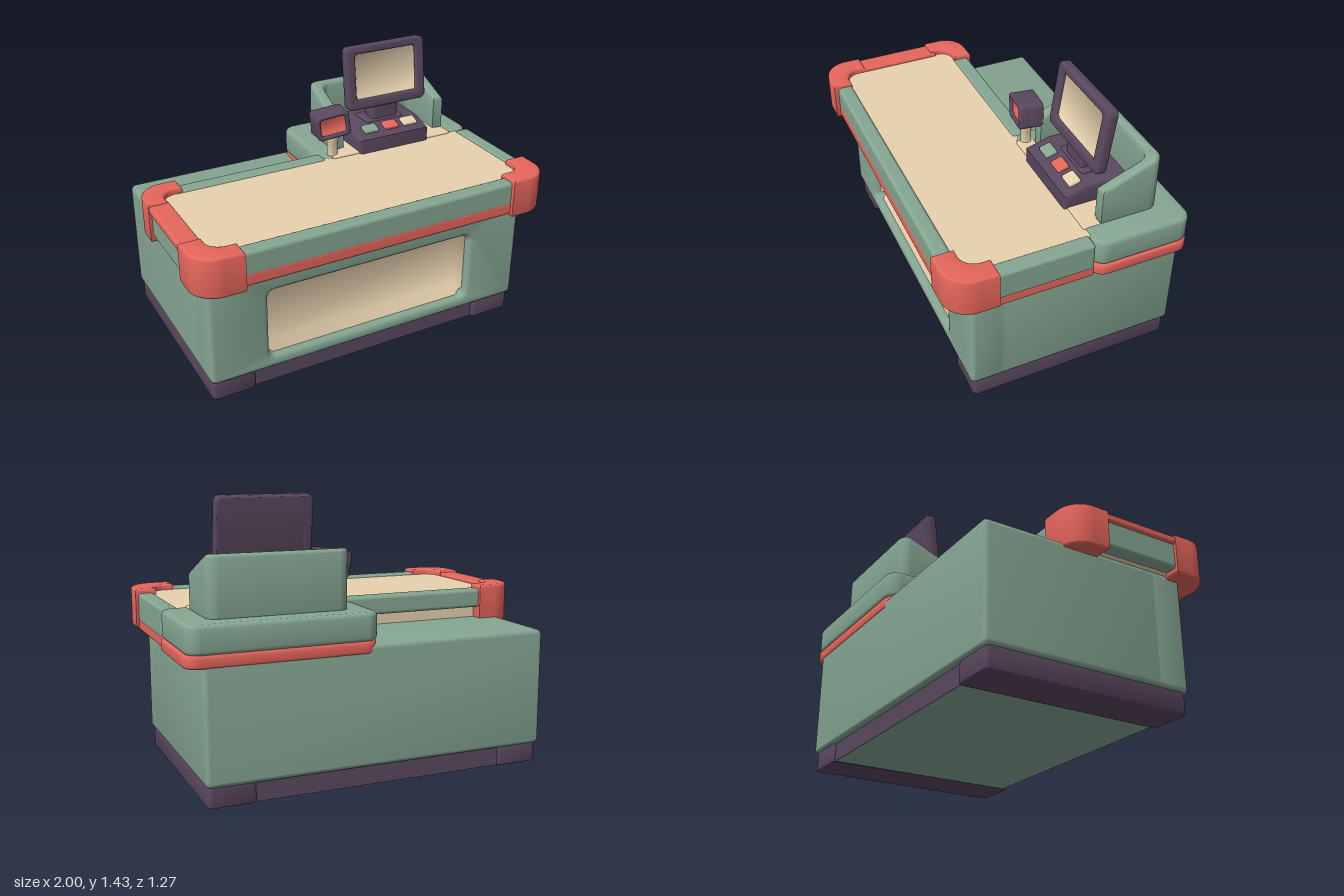
import * as THREE from 'three';
import { RoundedBoxGeometry } from 'three/addons/geometries/RoundedBoxGeometry.js';
import { toCreasedNormals } from 'three/addons/utils/BufferGeometryUtils.js';

const paint = (name, color) => Object.assign(new THREE.MeshStandardMaterial({ color }), { name });

// Rounded rectangle spanning x0..x1, y0..y1
function roundRect(x0, x1, y0, y1, r, Type = THREE.Shape) {
  const s = new Type();
  s.moveTo(x0 + r, y0);
  s.lineTo(x1 - r, y0);
  s.absarc(x1 - r, y0 + r, r, -Math.PI / 2, 0);
  s.lineTo(x1, y1 - r);
  s.absarc(x1 - r, y1 - r, r, 0, Math.PI / 2);
  s.lineTo(x0 + r, y1);
  s.absarc(x0 + r, y1 - r, r, Math.PI / 2, Math.PI);
  s.lineTo(x0, y0 + r);
  s.absarc(x0 + r, y0 + r, r, Math.PI, Math.PI * 1.5);
  return s;
}

// Extrusion with softened edges that keeps the drawn outline as its full size
function extrude(shape, depth, bevel = 0.015) {
  return new THREE.ExtrudeGeometry(shape, {
    depth: depth - 2 * bevel, curveSegments: 8, bevelEnabled: bevel > 0,
    bevelSize: bevel, bevelThickness: bevel, bevelOffset: -bevel, bevelSegments: 3,
  }).translate(0, 0, bevel);
}

// Tray facing +z: flat floor, narrow sloped walls, normals leaning softly to the middle
function tray(w, h, depth, wall) {
  const g = new THREE.PlaneGeometry(w, h, 3, 3);
  const p = g.attributes.position;
  const n = new THREE.Vector3();
  for (let i = 0; i < p.count; i++) {
    let x = p.getX(i), y = p.getY(i);
    const innerX = Math.abs(x) < w / 4, innerY = Math.abs(y) < h / 4;
    if (innerX) x = Math.sign(x) * (w / 2 - wall);
    if (innerY) y = Math.sign(y) * (h / 2 - wall);
    p.setXYZ(i, x, y, innerX && innerY ? -depth : 0);
    n.set(-0.5 * x / w, -y / h, 1).normalize();
    g.attributes.normal.setXYZ(i, n.x, n.y, n.z);
  }
  return g;
}

export function createModel() {
  const model = new THREE.Group();
  model.name = 'checkoutCounter';
  const green = paint('sageGreen', 0x86a693);
  const red = paint('coralRed', 0xe6665c);
  const cream = paint('cream', 0xe8d2af);
  const purple = paint('darkPurple', 0x5a485f);

  const add = (name, geo, mat, parent = model) => {
    const m = new THREE.Mesh(geo, mat);
    m.name = name;
    parent.add(m);
    return m;
  };
  const soft = (geo) => toCreasedNormals(geo, 0.65);
  // Box given by its extents
  const box = (name, mat, x0, x1, y0, y1, z0, z1, r = 0.015) => {
    const m = add(name, new RoundedBoxGeometry(x1 - x0, y1 - y0, z1 - z0, 3, r), mat);
    m.position.set((x0 + x1) / 2, (y0 + y1) / 2, (z0 + z1) / 2);
  };
  // Flat slab with rounded plan corners
  const slab = (name, mat, x0, x1, y0, y1, z0, z1, r, bevel) => {
    const g = extrude(roundRect(x0, x1, -z1, -z0, r), y1 - y0, bevel);
    add(name, soft(g.rotateX(-Math.PI / 2).translate(0, y0, 0)), mat);
  };

  // Plinth: two end blocks joined by thin panels around the cabinet floor
  for (const s of [-1, 1]) {
    slab('plinthEnd', purple, s > 0 ? 0.665 : -0.9, s > 0 ? 0.905 : -0.665, 0, 0.115, -0.617, 0.485, 0.025, 0.004);
    const panel = add('plinthPanel', new THREE.PlaneGeometry(1.36, 0.115), purple);
    panel.position.set(0, 0.0575, s > 0 ? 0.465 : -0.605);
    panel.rotation.y = s > 0 ? 0 : Math.PI;
  }
  box('cabinetFloor', green, -0.68, 0.68, 0.003, 0.12, -0.603, 0.463, 0.003);

  // Cabinet with a framed opening in the front
  const outline = () => roundRect(-0.91, 0.917, 0.1, 0.715, 0.03);
  add('cabinet', soft(extrude(outline(), 1.01, 0.02)), green).position.z = -0.63;
  const frame = outline();
  frame.holes.push(roundRect(-0.592, 0.598, 0.168, 0.558, 0.04, THREE.Path));
  add('cabinetFront', soft(extrude(frame, 0.2, 0.025)), green).position.z = 0.3;
  add('niche', tray(1.2, 0.4, 0.095, 0.025), cream).position.set(0.003, 0.363, 0.478);

  // Counter top and its rails
  box('counterTop', cream, -0.92, 0.91, 0.705, 0.868, -0.15, 0.55, 0.01);
  box('frontRail', green, -0.82, 0.82, 0.745, 0.881, 0.527, 0.61, 0.02);
  box('frontTrim', red, -0.82, 0.82, 0.695, 0.772, 0.48, 0.612, 0.02);
  box('rightRail', green, 0.9, 0.985, 0.72, 0.876, -0.11, 0.42, 0.018);
  box('rightTrim', red, 0.88, 0.986, 0.68, 0.737, -0.11, 0.4, 0.012);
  box('leftRail', green, -0.985, -0.895, 0.715, 0.86, -0.06, 0.46, 0.018);
  box('leftCap', red, -0.997, -0.885, 0.845, 0.888, -0.04, 0.44, 0.015);
  box('backRail', green, -0.82, 0.05, 0.775, 0.876, -0.2, -0.112, 0.018);

  // Bumper corners, one bent block turned to each place
  const [L, W, R, r] = [0.238, 0.112, 0.14, 0.08];
  const bend = new THREE.Shape();
  bend.moveTo(R, 0);
  bend.lineTo(L, 0);
  bend.lineTo(L, W);
  bend.lineTo(W + r, W);
  bend.absarc(W + r, W + r, r, Math.PI * 1.5, Math.PI, true);
  bend.lineTo(W, L);
  bend.lineTo(0, L);
  bend.lineTo(0, R);
  bend.absarc(R, R, R, Math.PI, Math.PI * 1.5);
  const bumper = soft(extrude(bend, 0.214, 0.015).rotateX(-Math.PI / 2));
  for (const [name, x, z, turn, sx, sz] of [
    ['frontLeftBumper', 1, 0.632, 1, 1.03, 1], ['frontRightBumper', -1, 0.633, 0, 1.03, 0.94],
    ['backRightBumper', -1, -0.217, -1, 0.88, 0.92],
  ]) {
    const m = add(name, bumper, red);
    m.position.set(x, 0.686, z);
    m.rotation.y = turn * Math.PI / 2;
    m.scale.set(sx, 1, sz);
  }

  // Raised till stand behind the counter
  slab('tillTrim', red, 0.033, 1, 0.67, 0.735, -0.635, -0.11, 0.07, 0.014);
  slab('tillStand', green, 0.03, 0.993, 0.73, 0.874, -0.635, -0.112, 0.07, 0.022);
  box('tillMat', cream, 0.1, 0.86, 0.84, 0.879, -0.2, -0.108, 0.008);
  box('hoodFloor', cream, 0.18, 0.82, 0.84, 0.879, -0.45, -0.19, 0.005);

  // U-shaped hood whose top climbs towards the back
  const u = new THREE.Shape();
  u.moveTo(0.14, 0.2);
  u.lineTo(0.205, 0.2);
  u.lineTo(0.205, 0.42);
  u.absarc(0.25, 0.42, 0.045, Math.PI, Math.PI / 2, true);
  u.lineTo(0.755, 0.465);
  u.absarc(0.755, 0.42, 0.045, Math.PI / 2, 0, true);
  u.lineTo(0.8, 0.2);
  u.lineTo(0.86, 0.2);
  u.lineTo(0.86, 0.46);
  u.absarc(0.8, 0.46, 0.06, 0, Math.PI / 2);
  u.lineTo(0.2, 0.52);
  u.absarc(0.2, 0.46, 0.06, Math.PI / 2, Math.PI);
  u.closePath();
  const hood = extrude(u, 0.2, 0.018).rotateX(-Math.PI / 2);
  const p = hood.attributes.position;
  for (let i = 0; i < p.count; i++) {
    if (p.getY(i) > 0.1) {
      const t = THREE.MathUtils.clamp((-0.2 - p.getZ(i)) / 0.28, 0, 1);
      p.setY(i, p.getY(i) + 0.112 * t);
    }
  }
  hood.computeVertexNormals();
  add('hood', soft(hood), green).position.y = 0.862;

  // Till body with a sloping key deck, drawn from the side
  const side = new THREE.Shape([[0.09, 0.865], [0.43, 0.865], [0.43, 0.985], [0.22, 0.985], [0.09, 0.948]]
    .map(([x, y]) => new THREE.Vector2(x, y)));
  add('tillBody', soft(extrude(side, 0.442, 0.016).rotateY(Math.PI / 2)), purple).position.x = 0.254;
  [[0.357, green], [0.486, red], [0.608, cream]].forEach(([x, mat]) => {
    const key = add('key', new RoundedBoxGeometry(0.088, 0.028, 0.066, 3, 0.01), mat);
    key.position.set(x, 0.973, -0.168);
    key.rotation.x = 0.29;
  });
  box('screenFoot', purple, 0.37, 0.61, 0.965, 0.997, -0.37, -0.225, 0.014);
  box('screenNeck', purple, 0.415, 0.577, 0.975, 1.115, -0.34, -0.235, 0.018);

  // Tilted screen with a raised bezel
  const screen = new THREE.Group();
  screen.name = 'screen';
  screen.position.set(0.5, 1.25, -0.267);
  screen.rotation.x = -0.13;
  model.add(screen);
  const bezel = roundRect(-0.252, 0.252, -0.18, 0.18, 0.032);
  bezel.holes.push(roundRect(-0.193, 0.193, -0.122, 0.134, 0.02, THREE.Path));
  add('bezel', soft(extrude(bezel, 0.055, 0.012)), purple, screen).position.z = -0.028;
  add('screenBack', soft(extrude(roundRect(-0.245, 0.245, -0.173, 0.173, 0.025), 0.026, 0.004)), purple, screen).position.z = -0.028;
  add('display', tray(0.392, 0.262, 0.01, 0.02), cream, screen).position.set(0, 0.006, 0.012);

  // Scanner on a short post
  const post = [[0, 0], [0.029, 0], [0.028, 0.08], [0.036, 0.098], [0.036, 0.12], [0, 0.125]];
  const postGeo = new THREE.LatheGeometry(post.map(([x, y]) => new THREE.Vector2(x, y)), 20);
  add('scannerPost', soft(postGeo), cream).position.set(0.112, 0.87, -0.16);
  const scanner = new THREE.Group();
  scanner.name = 'scanner';
  scanner.position.set(0.1, 1.065, -0.165);
  scanner.rotation.set(0, -0.14, 0.13);
  model.add(scanner);
  const rim = roundRect(-0.095, 0.095, -0.07, 0.07, 0.025);
  rim.holes.push(roundRect(-0.072, 0.072, -0.048, 0.05, 0.015, THREE.Path));
  add('scannerRim', soft(extrude(rim, 0.062, 0.01)), purple, scanner).position.z = 0.005;
  add('scannerBody', soft(extrude(roundRect(-0.095, 0.095, -0.07, 0.07, 0.025), 0.09, 0.01)), purple, scanner).position.z = -0.065;
  add('scannerWindow', tray(0.148, 0.102, 0.022, 0.015), red, scanner).position.set(0, 0.001, 0.054);
  return model;
}
